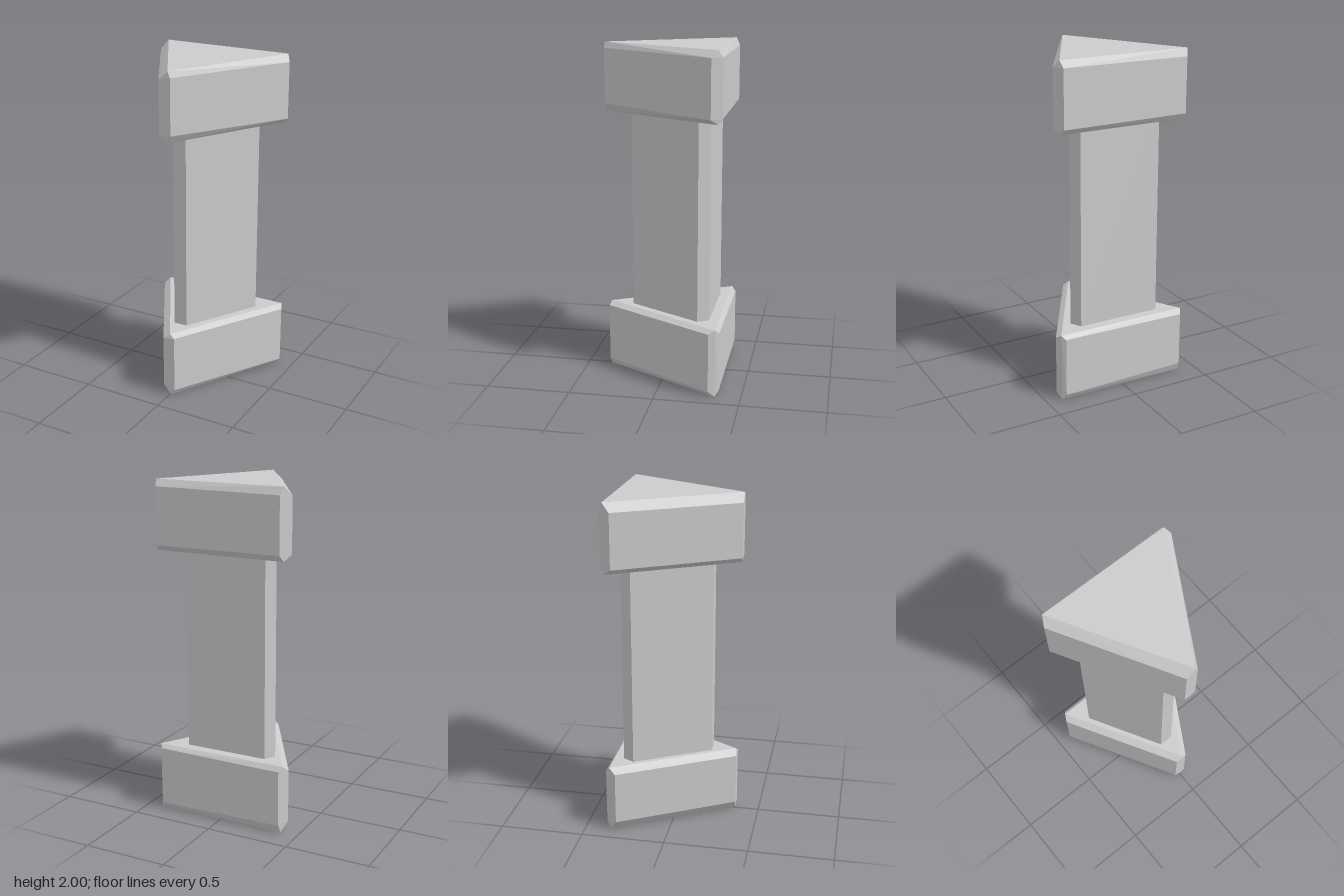
import * as THREE from 'three';
import { ConvexGeometry } from 'three/addons/geometries/ConvexGeometry.js';

const material = new THREE.MeshStandardMaterial({ color: 0xcccccc, flatShading: true });

// Convex solid from horizontal outlines; each outline is [heights, [x, z] points]
function solid(name, outlines) {
  const points = [];
  for (const [y, outline] of outlines) {
    outline.forEach(([x, z], i) => points.push(new THREE.Vector3(x, Array.isArray(y) ? y[i] : y, z)));
  }
  const mesh = new THREE.Mesh(new ConvexGeometry(points), material);
  mesh.name = name;
  return mesh;
}

export function createModel() {
  const model = new THREE.Group();
  model.name = 'triangularColumn';

  // Capital: triangle with cut corners, bevelled to a plain triangle above and below
  const capitalRim = [[-0.385, -0.373], [0.39, -0.373], [0.425, -0.312], [0.032, 0.373], [-0.04, 0.373], [-0.428, -0.305]];
  model.add(solid('capital', [
    [1.595, [[-0.4, -0.35], [0.4, -0.35], [0.005, 0.365]]],
    [[1.63, 1.625, 1.625, 1.64, 1.63, 1.63], capitalRim],
    [[1.955, 1.96, 1.96, 1.965, 1.95, 1.95], capitalRim],
    [2, [[-0.4, -0.351], [0.4, -0.347], [0.017, 0.371]]],
  ]));

  // Shaft: straight prism with cut corners, its ends sunk into the blocks
  const shaftOutline = [[-0.26, -0.29], [0.248, -0.29], [0.285, -0.225], [0.035, 0.21], [-0.048, 0.21], [-0.298, -0.225]];
  model.add(solid('shaft', [[0.37, shaftOutline], [1.64, shaftOutline]]));

  // Base: same kind of block as the capital
  const baseRim = [[-0.388, -0.37], [0.388, -0.37], [0.424, -0.31], [0.035, 0.36], [-0.038, 0.36], [-0.424, -0.308]];
  model.add(solid('base', [
    [0, [[-0.395, -0.348], [0.405, -0.348], [0.008, 0.355]]],
    [[0.05, 0.035, 0.035, 0.04, 0.06, 0.06], baseRim],
    [[0.38, 0.388, 0.388, 0.388, 0.377, 0.377], baseRim],
    [0.41, [[-0.402, -0.348], [0.408, -0.348], [0.003, 0.352]]],
  ]));

  return model;
}
